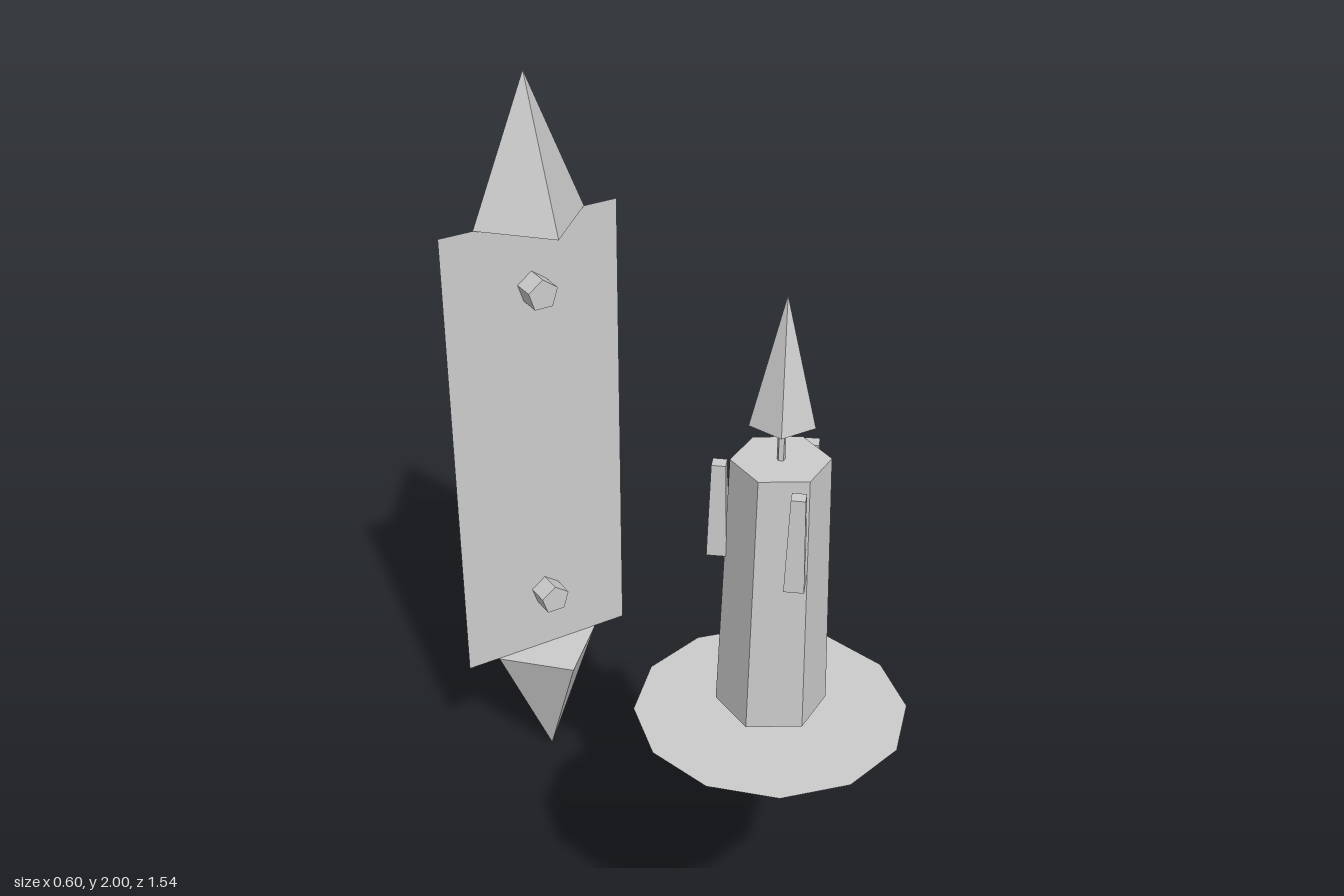
import * as THREE from 'three';

export function createModel() {
  const root = new THREE.Group();
  root.name = 'candleAndPanel';
  const grey = new THREE.MeshStandardMaterial({ color: 0xcccccc, flatShading: true, side: THREE.DoubleSide });
  grey.name = 'pale grey';

  const add = (parent, name, geometry, x, y, z) => {
    const mesh = new THREE.Mesh(geometry, grey);
    mesh.name = name;
    mesh.position.set(x, y, z);
    parent.add(mesh);
    return mesh;
  };
  // Low-poly tapered prism placed by its bottom and top heights
  const prism = (parent, name, rTop, rBottom, sides, y0, y1, x = 0) =>
    add(parent, name, new THREE.CylinderGeometry(rTop, rBottom, y1 - y0, sides), x, (y0 + y1) / 2, 0);

  // Candle hovering just above a thin dish
  const candle = new THREE.Group();
  candle.name = 'candle';
  candle.position.z = 0.47;
  root.add(candle);
  add(candle, 'dish', new THREE.CircleGeometry(0.302, 12).rotateX(-Math.PI / 2), 0, 0.88, 0);
  prism(candle, 'waxBody', 0.103, 0.121, 6, 0.91, 1.518);
  prism(candle, 'wick', 0.009, 0.009, 5, 1.518, 1.59);
  prism(candle, 'flame', 0, 0.07, 5, 1.604, 1.88).rotation.y = Math.PI;

  // Wax drips around the rim
  for (const [x, z] of [[-0.097, -0.078], [0.113, -0.05], [-0.035, 0.116]]) {
    const drip = prism(candle, 'waxDrip', 0.021, 0.03, 4, 1.286, 1.5, x);
    drip.position.z = z;
    drip.rotation.y = 0.1;
  }

  // Thin upright panel with a spike at each end
  const panel = new THREE.Group();
  panel.name = 'spikedPanel';
  panel.position.z = -0.62;
  root.add(panel);
  add(panel, 'plate', new THREE.PlaneGeometry(0.484, 1.27), 0, 1, 0);
  prism(panel, 'topSpike', 0, 0.151, 4, 1.635, 2);
  prism(panel, 'bottomSpike', 0.151, 0, 4, 0, 0.363);

  // Pegs passing through the plate
  for (const y of [0.545, 1.455]) {
    add(panel, 'peg', new THREE.CylinderGeometry(0.042, 0.042, 0.09, 5).rotateX(-Math.PI / 2), 0, y, 0.015);
  }
  return root;
}
